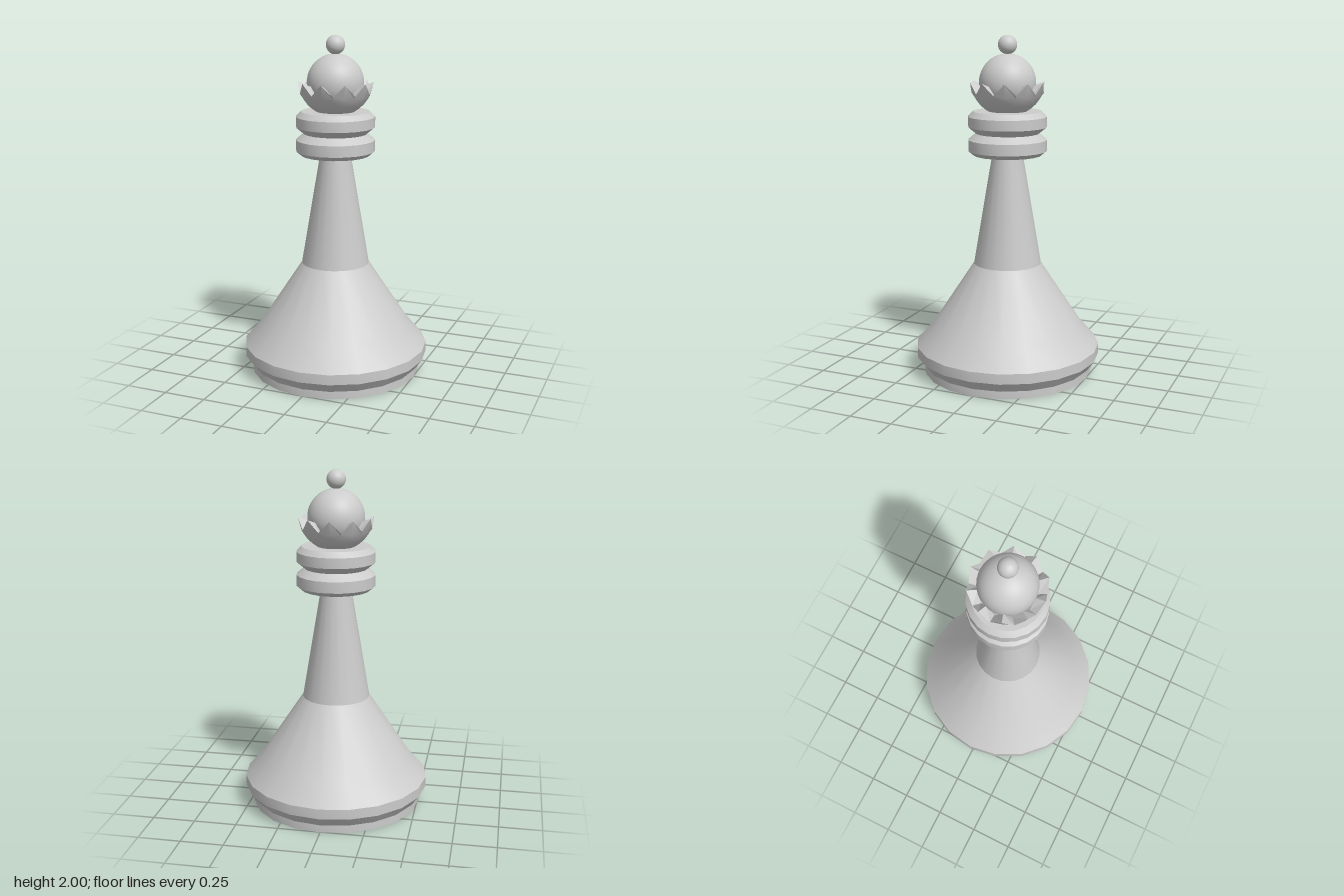
import * as THREE from 'three';
import { toCreasedNormals } from 'three/addons/utils/BufferGeometryUtils.js';

const SIDES = 20;
const CREASE = 0.35;

export function createModel() {
  const group = new THREE.Group();
  const solid = new THREE.MeshStandardMaterial({ color: 0xcccccc });
  const shell = new THREE.MeshStandardMaterial({ color: 0xcccccc, side: THREE.DoubleSide });

  const lathe = (profile) =>
    new THREE.LatheGeometry(profile.map(([r, y]) => new THREE.Vector2(r, y)), SIDES);

  const add = (name, geometry, material = solid, y = 0) => {
    const mesh = new THREE.Mesh(geometry, material);
    mesh.name = name;
    mesh.position.y = y;
    group.add(mesh);
  };

  // Hollow foot, flared skirt and tapering stem, open underneath
  add('body', toCreasedNormals(lathe([
    [0.505, 0], [0.505, 0.045], [0.55, 0.105], [0.55, 0.165],
    [0.45, 0.28], [0.2, 0.66], [0.09, 1.31], [0.085, 1.36],
  ]), CREASE), shell);

  // Two bevelled neck rings with a groove between them
  add('collar', toCreasedNormals(lathe([
    [0.08, 1.34], [0.14, 1.34], [0.14, 1.31], [0.2, 1.31], [0.23, 1.335], [0.23, 1.4],
    [0.185, 1.437], [0.23, 1.475], [0.23, 1.535], [0.2, 1.565], [0, 1.565],
  ]), CREASE), shell);

  // Crown cup: every second column of the rim drops to form ten teeth
  const zigzag = (profile, rimStart) => {
    const geometry = lathe(profile);
    const pos = geometry.attributes.position;
    const n = profile.length;
    for (let i = 1; i <= SIDES; i += 2) {
      for (let j = rimStart; j < n; j++) {
        const k = i * n + j;
        const s = profile[j][0] > 0.2 ? 0.95 : 1;
        pos.setXYZ(k, pos.getX(k) * s, pos.getY(k) - 0.065, pos.getZ(k) * s);
      }
    }
    return geometry;
  };
  add('crownCup', toCreasedNormals(zigzag([
    [0.105, 1.56], [0.135, 1.58], [0.163, 1.605], [0.185, 1.635], [0.197, 1.655], [0.22, 1.735],
  ], 5), 0.5), shell);
  add('crownTeeth', toCreasedNormals(zigzag([[0.22, 1.735], [0.16, 1.715]], 0), 0.1), shell);

  // Dome and finial ball
  add('dome', new THREE.SphereGeometry(0.165, 40, 24), solid, 1.73);
  add('finial', new THREE.SphereGeometry(0.055, 32, 18), solid, 1.945);

  return group;
}
